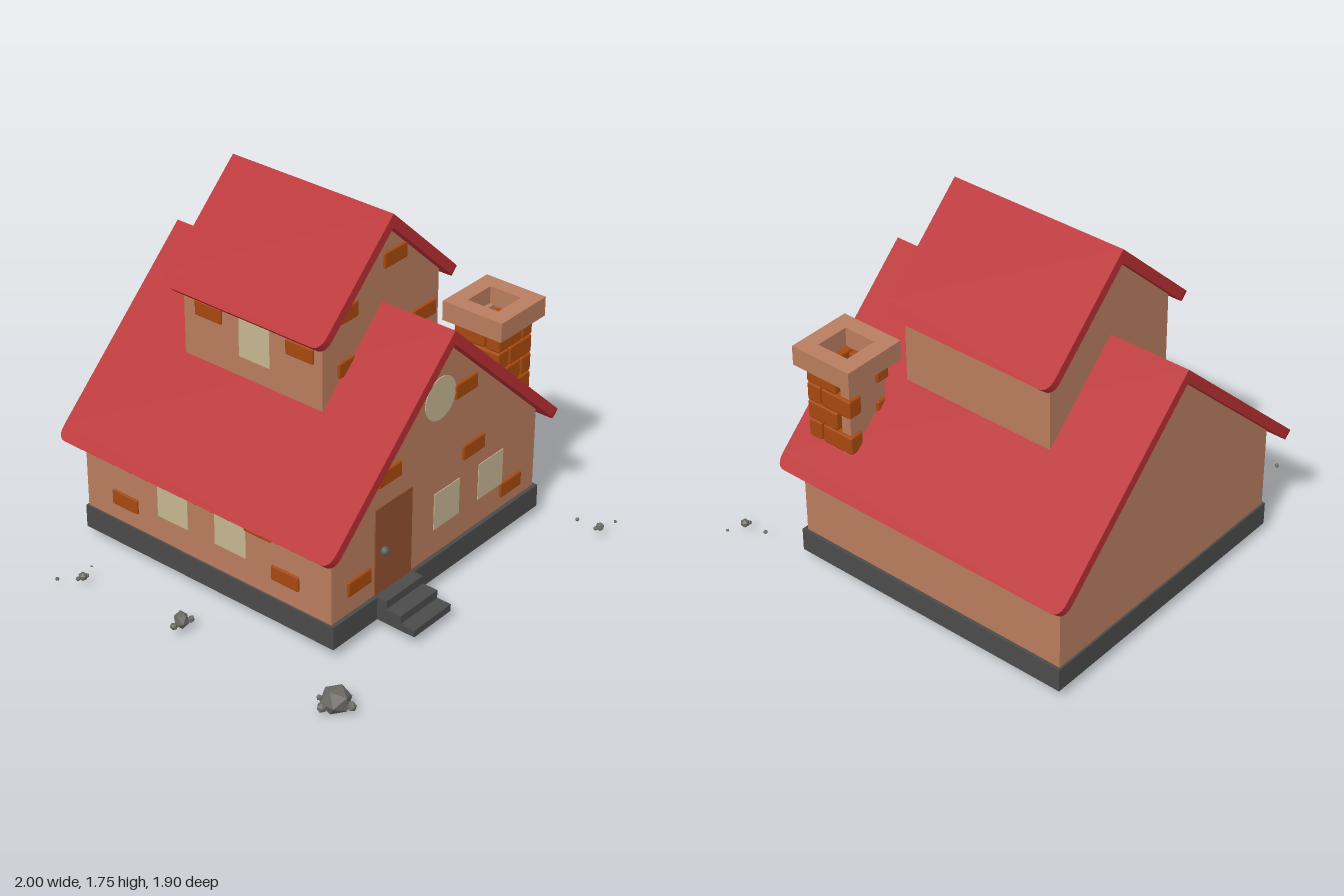
import * as THREE from 'three';
import { RoundedBoxGeometry } from 'three/addons/geometries/RoundedBoxGeometry.js';

const material = (name, color) => {
  const m = new THREE.MeshStandardMaterial({ color });
  m.name = name;
  return m;
};

export function createModel() {
  const house = new THREE.Group();
  house.name = 'house';
  const plaster = material('tan plaster', 0xb97d5f);
  const roofRed = material('roof red', 0xb93033);
  const brickMat = material('brick orange', 0xa8490e);
  const slate = material('foundation grey', 0x4c4b4b);
  const doorMat = material('door brown', 0x935030);
  const glass = material('window cream', 0xc6b793);
  const stone = material('stone grey', 0x6b6962);
  const metal = material('knob grey', 0x5a5f5a);

  const add = (name, geometry, mat, parent = house) => {
    const mesh = new THREE.Mesh(geometry, mat);
    mesh.name = name;
    parent.add(mesh);
    return mesh;
  };
  // Boxes are given by their low and high limits on each axis.
  const box = (name, mat, [x0, x1], [y0, y1], [z0, z1], round = 0, parent = house) => {
    const size = [x1 - x0, y1 - y0, z1 - z0];
    const g = round ? new RoundedBoxGeometry(...size, 1, round) : new THREE.BoxGeometry(...size);
    const mesh = add(name, g, mat, parent);
    mesh.position.set((x0 + x1) / 2, (y0 + y1) / 2, (z0 + z1) / 2);
    return mesh;
  };

  const CX = 0.13;      // ridge line
  const SLOPE = 0.942;
  const THICK = 0.065;  // vertical roof thickness

  // Walls with a gable that follows the underside of the roof
  const gableWalls = (name, half, bottom, apex, z0, z1) => {
    const top = apex - THICK + 0.008;
    const shape = new THREE.Shape([
      new THREE.Vector2(-half, bottom), new THREE.Vector2(half, bottom),
      new THREE.Vector2(half, top - SLOPE * half), new THREE.Vector2(0, top),
      new THREE.Vector2(-half, top - SLOPE * half),
    ]);
    const g = new THREE.ExtrudeGeometry(shape, { depth: z1 - z0, bevelEnabled: false });
    add(name, g, plaster).position.set(CX, 0, z0);
  };

  // Two mitred slabs with rounded eave corners, the second turned half around
  const roof = (name, width, apex, z0, z1) => {
    const h = (z1 - z0) / 2, r = 0.05;
    const s = new THREE.Shape();
    s.moveTo(0, -h);
    s.lineTo(width - r, -h);
    s.quadraticCurveTo(width, -h, width, -h + r);
    s.lineTo(width, h - r);
    s.quadraticCurveTo(width, h, width - r, h);
    s.lineTo(0, h);
    const g = new THREE.ExtrudeGeometry(s, { depth: 1, bevelEnabled: false, curveSegments: 6 });
    const p = g.attributes.position;
    for (let i = 0; i < p.count; i++) {
      const d = p.getZ(i), v = p.getY(i);
      const x = p.getX(i) * (1 - d * 0.035 / width);
      p.setXYZ(i, x, -SLOPE * x - d * THICK, v);
    }
    g.computeVertexNormals();
    for (const side of [0, 1]) {
      const mesh = add(name, g, roofRed);
      mesh.position.set(CX, apex, (z0 + z1) / 2);
      mesh.rotation.y = side * Math.PI;
    }
  };

  // Foundation and front steps
  box('foundation', slate, [-0.6, 0.865], [0.065, 0.18], [-0.89, 0.58]);
  [[0.18, 0.63], [0.14, 0.71], [0.1, 0.785]].forEach(([top, front], i) =>
    box('step', slate, [-0.305, -0.05], [0.065, top], [[0.57, 0.63, 0.71][i], front]));

  // Lower and upper storeys
  gableWalls('lowerWalls', 0.72, 0.17, 1.33, -0.88, 0.56);
  gableWalls('upperWalls', 0.393, 0.75, 1.765, -0.555, 0.235);
  roof('lowerRoof', 0.822, 1.33, -0.957, 0.63);
  roof('upperRoof', 0.478, 1.765, -0.61, 0.29);

  // Door and knob
  box('door', doorMat, [-0.305, -0.055], [0.18, 0.62], [0.558, 0.566]);
  add('doorKnob', new THREE.SphereGeometry(0.022, 16, 12), metal).position.set(-0.25, 0.39, 0.572);

  // Windows on the front and on the -x side
  for (const x of [0.195, 0.515])
    box('frontWindow', glass, [x - 0.09, x + 0.09], [0.31, 0.495], [0.557, 0.564]);
  for (const z of [-0.35, -0.01])
    box('sideWindow', glass, [-0.594, -0.587], [0.31, 0.495], [z - 0.09, z + 0.09]);
  box('upperWindow', glass, [-0.267, -0.26], [1.06, 1.245], [-0.235, -0.06]);
  const round = add('roundWindow', new THREE.CylinderGeometry(0.105, 0.105, 0.008, 40), glass);
  round.rotation.x = Math.PI / 2;
  round.position.set(0.13, 0.975, 0.56);

  // Loose bricks showing through the plaster: [x or z, y, wall plane]
  const L = 0.077, H = 0.037;
  for (const [x, y, z] of [
    [-0.41, 0.308, 0.56], [-0.213, 0.757, 0.56], [0.308, 0.957, 0.56], [0.378, 0.615, 0.56],
    [0.667, 0.275, 0.56], [-0.118, 1.373, 0.235], [0.21, 1.523, 0.235], [0.422, 1.158, 0.235],
    [-0.088, 1.115, 0.235],
  ]) box('frontBrick', brickMat, [x - L, x + L], [y - H, y + H], [z - 0.03, z + 0.012], 0.006);
  for (const [z, y, x] of [
    [-0.64, 0.3, -0.59], [0.305, 0.31, -0.59], [0.15, 0.495, -0.59],
    [-0.41, 1.215, -0.263], [0.11, 1.21, -0.263],
  ]) box('sideBrick', brickMat, [x - 0.01, x + 0.03], [y - H, y + H], [z - L, z + L], 0.006);

  // Chimney: alternating brick courses on three sides and a plain back
  const chimney = new THREE.Group();
  chimney.name = 'chimney';
  house.add(chimney);
  const courses = [
    [[[0.58, 0.748], [0.46, 0.535]], [[0.755, 0.828], [0.365, 0.535]], [[0.58, 0.653], [0.285, 0.453]]],
    [[[0.58, 0.658], [0.365, 0.535]], [[0.665, 0.828], [0.46, 0.535]], [[0.755, 0.828], [0.285, 0.453]]],
  ];
  for (let row = 0; row < 4; row++) {
    const top = 1.073 - row * 0.094;
    for (const [xs, zs] of courses[row % 2])
      box('chimneyBrick', brickMat, xs, [top - 0.09, top], zs, 0.009, chimney);
  }
  box('chimneyBack', plaster, [0.595, 0.813], [0.62, 1.08], [0.3, 0.35], 0, chimney);
  box('chimneyCore', plaster, [0.64, 0.77], [0.62, 0.94], [0.34, 0.47], 0, chimney);

  // Chimney cap with a square opening
  const square = (Ctor, a) => new Ctor([[-a, -a], [a, -a], [a, a], [-a, a]]
    .map(([x, y]) => new THREE.Vector2(x, y)));
  const capShape = square(THREE.Shape, 0.162);
  capShape.holes.push(square(THREE.Path, 0.083));
  const cap = add('chimneyCap',
    new THREE.ExtrudeGeometry(capShape, { depth: 0.095, bevelEnabled: false }), plaster, chimney);
  cap.rotation.x = -Math.PI / 2;
  cap.position.set(0.703, 1.07, 0.41);

  // Scattered faceted stones: [x, y, z, radius]
  [
    [-0.857, 0.072, 0.81, 0.073], [-0.93, 0.065, 0.795, 0.024], [-0.91, 0.09, 0.765, 0.014],
    [-0.84, 0.06, 0.88, 0.024], [-0.865, 0.075, -0.055, 0.042], [-0.917, 0.07, -0.05, 0.02],
    [-0.825, 0.065, -0.035, 0.018], [-0.905, 0.07, -0.615, 0.022], [-0.93, 0.068, -0.62, 0.012],
    [-0.885, 0.066, -0.61, 0.012], [-0.99, 0.068, -0.69, 0.011], [-0.82, 0.066, -0.645, 0.006],
    [0.89, 0.068, 0.795, 0.011], [0.905, 0.07, 0.91, 0.022], [0.885, 0.066, 0.9, 0.011],
    [0.99, 0.066, 0.937, 0.008],
  ].forEach(([x, y, z, r], i) => {
    const rock = add('stone', new THREE.IcosahedronGeometry(r, 0), stone);
    rock.position.set(x, y, z);
    rock.rotation.set(i * 1.3, i * 0.7, i * 2.1);
    rock.scale.set(1, 0.9 + 0.1 * Math.sin(i), 0.95);
  });

  return house;
}
